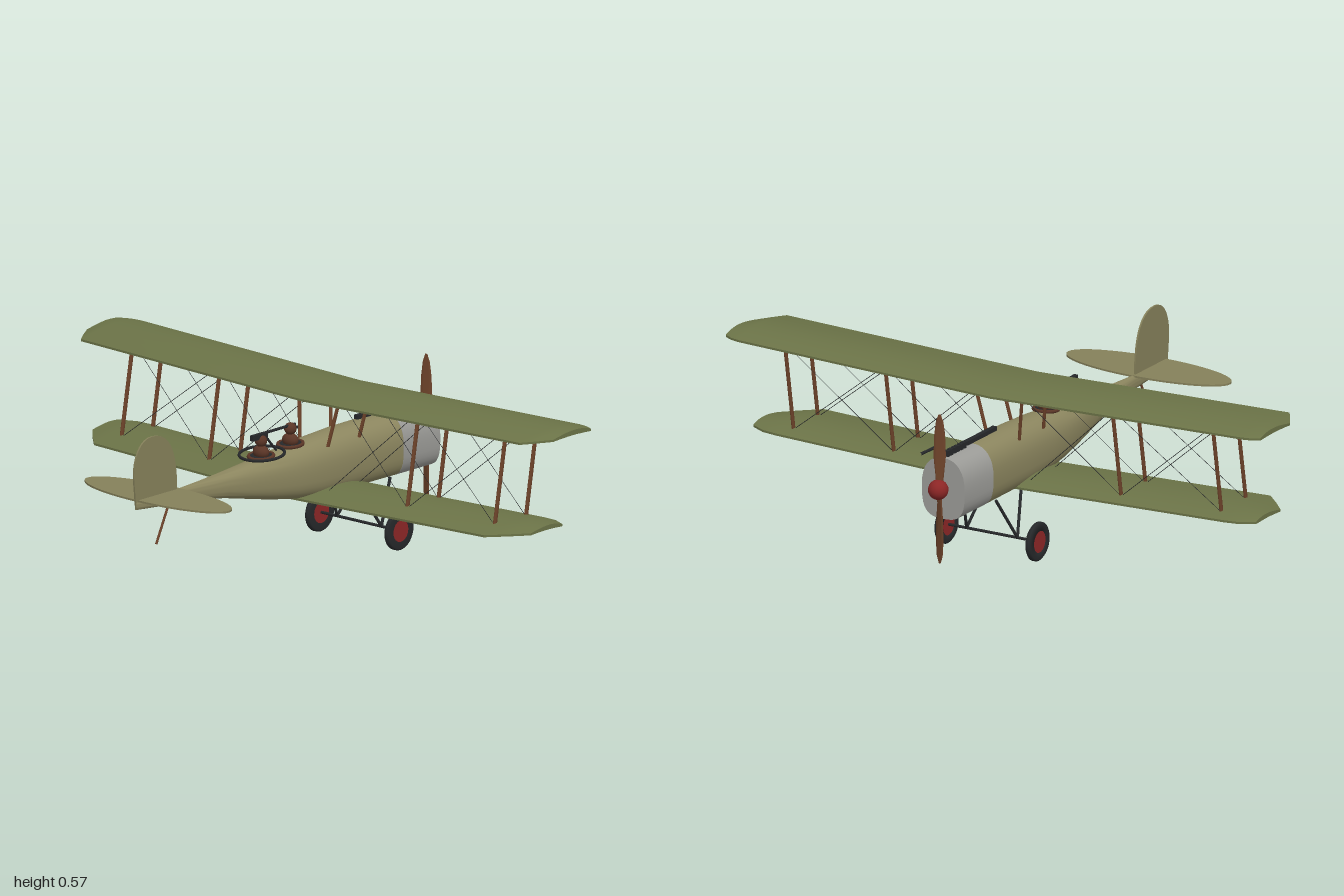
import * as THREE from 'three';
import { toCreasedNormals } from 'three/addons/utils/BufferGeometryUtils.js';

const mat = (color, side = THREE.FrontSide) => new THREE.MeshStandardMaterial({ color, side });
const V = (x, y, z) => new THREE.Vector3(x, y, z);

// Skin a row of closed rings, with a cap at each end
function loft(rings, crease = 0.7) {
  const n = rings[0].length, pos = [], idx = [];
  rings.forEach(r => r.forEach(p => pos.push(p.x, p.y, p.z)));
  for (let i = 0; i < rings.length - 1; i++) {
    for (let j = 0; j < n; j++) {
      const a = i * n + j, b = i * n + (j + 1) % n;
      idx.push(a, b, b + n, a, b + n, a + n);
    }
  }
  [0, rings.length - 1].forEach((k, end) => {
    const c = rings[k].reduce((s, p) => s.add(p), V(0, 0, 0)).divideScalar(n);
    const ci = pos.length / 3;
    pos.push(c.x, c.y, c.z);
    for (let j = 0; j < n; j++) {
      const a = k * n + j, b = k * n + (j + 1) % n;
      idx.push(ci, ...(end ? [a, b] : [b, a]));
    }
  });
  const g = new THREE.BufferGeometry();
  g.setAttribute('position', new THREE.Float32BufferAttribute(pos, 3));
  g.setIndex(idx);
  return toCreasedNormals(g, crease);
}

export function createModel() {
  const root = new THREE.Group();
  root.name = 'biplane';
  const olive = mat(0x6b7347), linen = mat(0x8c865f), tail = mat(0x85805a, THREE.DoubleSide);
  const metal = mat(0x9c9c98), wood = mat(0x6e432a), red = mat(0x8c2626), dark = mat(0x26282a), leather = mat(0x5a3526);

  const add = (name, geo, material, x = 0, y = 0, z = 0) => {
    const m = new THREE.Mesh(geo, material);
    m.name = name;
    m.position.set(x, y, z);
    root.add(m);
    return m;
  };
  // Round bar between two points, optionally flattened sideways
  const bar = (name, a, b, r, material, flat = 1, sides = 8) => {
    const d = b.clone().sub(a);
    const m = add(name, new THREE.CylinderGeometry(r, r, d.length(), sides), material);
    m.position.copy(a).add(b).multiplyScalar(0.5);
    m.quaternion.setFromUnitVectors(V(0, 1, 0), d.normalize());
    m.scale.x = flat;
    return m;
  };

  // Fuselage: rounded-square sections as [z, bottom, top, half width]
  const section = ([z, lo, hi, w]) => Array.from({ length: 32 }, (_, i) => {
    const t = i / 32 * Math.PI * 2, c = Math.cos(t), s = Math.sin(t), e = s > 0 ? 0.85 : 0.65;
    return V(Math.sign(c) * Math.abs(c) ** e * w, (lo + hi) / 2 + Math.sign(s) * Math.abs(s) ** e * (hi - lo) / 2, z);
  });
  add('fuselage', loft([
    [-0.48, 0.2, 0.405, 0.08], [-0.25, 0.201, 0.403, 0.08], [-0.1, 0.206, 0.395, 0.077], [0, 0.218, 0.386, 0.07],
    [0.1, 0.236, 0.378, 0.058], [0.2, 0.258, 0.37, 0.046], [0.3, 0.28, 0.362, 0.034], [0.4, 0.296, 0.356, 0.022],
    [0.5, 0.306, 0.352, 0.012], [0.6, 0.312, 0.35, 0.007], [0.71, 0.322, 0.35, 0.004]
  ].map(section)), linen);
  add('engineCowl', loft([[-0.655, 0.2, 0.405, 0.08], [-0.48, 0.2, 0.405, 0.081]].map(section)), metal);

  // Wings: thin cambered sections swept along the span, stations as [x, leading z, trailing z]
  const airfoil = (x, lead, trail, y) => {
    const pts = [], N = 12, k = (trail - lead) / 0.3;
    for (let i = 0; i <= N; i++) {
      const c = (1 - Math.cos(i / N * Math.PI)) / 2;
      pts.push(V(x, y + 0.004 + 0.022 * k * Math.sin(Math.PI * c ** 0.8), lead + c * (trail - lead)));
    }
    for (let i = N; i >= 0; i--) {
      const c = (1 - Math.cos(i / N * Math.PI)) / 2;
      pts.push(V(x, y - 0.003 + 0.006 * k * Math.sin(Math.PI * c), lead + c * (trail - lead)));
    }
    return pts;
  };
  const wing = (name, half, y, rise) => {
    const all = [...half.slice(1).reverse().map(([x, l, t]) => [-x, l, t]), ...half];
    add(name, loft(all.map(([x, l, t]) => airfoil(x, l, t, y + rise * Math.abs(x)))), olive);
  };
  wing('upperWing', [[0, -0.37, -0.075], [0.94, -0.37, -0.075], [0.97, -0.365, -0.12], [1, -0.35, -0.17]], 0.526, 0.028);
  wing('lowerWing', [[0, -0.31, -0.02], [0.835, -0.31, -0.02], [0.89, -0.305, -0.075], [0.94, -0.28, -0.13]], 0.214, 0.03);

  // Interplane struts and crossed bracing wires
  const top = (x, z) => V(x, 0.532 + 0.028 * Math.abs(x), z);
  const low = (x, z) => V(x, 0.226 + 0.03 * Math.abs(x), z);
  const lines = [[-0.113, -0.168], [-0.262, -0.316]];
  for (const s of [-1, 1]) {
    for (const [zl, zt] of lines) {
      for (const x of [0.425, 0.8]) bar('interplaneStrut', low(s * x, zl), top(s * x, zt), 0.009, wood, 0.5);
      bar('cabaneStrut', V(s * 0.06, 0.37, (zl + zt) / 2), top(s * 0.088, zt), 0.008, wood, 0.5);
      for (const [a, b] of [[0.08, 0.425], [0.425, 0.8]]) {
        bar('bracingWire', low(s * a, zl), top(s * b, zt), 0.001, dark, 1, 4);
        bar('bracingWire', low(s * b, zl), top(s * a, zt), 0.001, dark, 1, 4);
      }
    }
  }

  // Tail surfaces
  const oval = new THREE.Shape();
  oval.absellipse(0, 0, 0.303, 0.1, 0, Math.PI * 2);
  const stab = add('tailplane', new THREE.ExtrudeGeometry(oval, { depth: 0.006, bevelEnabled: false, curveSegments: 32 }), tail, 0, 0.353, 0.602);
  stab.rotation.x = Math.PI / 2;
  const fin = new THREE.Shape();
  fin.moveTo(-0.515, 0.345);
  fin.bezierCurveTo(-0.515, 0.46, -0.54, 0.55, -0.635, 0.55);
  fin.bezierCurveTo(-0.7, 0.55, -0.725, 0.48, -0.72, 0.42);
  fin.lineTo(-0.71, 0.325);
  const rudder = add('fin', new THREE.ExtrudeGeometry(fin, { depth: 0.006, bevelEnabled: false, curveSegments: 16 }), tail, -0.003, 0, 0);
  rudder.rotation.y = Math.PI / 2;
  bar('tailSkid', V(0, 0.32, 0.548), V(0, 0.19, 0.612), 0.004, wood);

  // Propeller and spinner
  const ring = ([r, w, t, twist]) => Array.from({ length: 12 }, (_, i) => {
    const a = i / 12 * Math.PI * 2;
    return V(Math.sin(a) * w, r, Math.cos(a) * t).applyAxisAngle(V(0, 1, 0), twist);
  });
  const blade = loft([[0, 0.01, 0.009, 0.7], [0.05, 0.014, 0.006, 0.6], [0.11, 0.02, 0.004, 0.45],
    [0.18, 0.018, 0.003, 0.3], [0.225, 0.013, 0.002, 0.2], [0.25, 0.004, 0.001, 0.15]].map(ring), 1.2);
  for (const a of [0, Math.PI]) add('propellerBlade', blade, wood, 0, 0.307, -0.677).rotation.z = a;
  add('spinner', new THREE.SphereGeometry(0.033, 20, 14), red, 0, 0.307, -0.686);
  bar('propellerShaft', V(0, 0.307, -0.64), V(0, 0.307, -0.69), 0.012, dark);

  // Landing gear
  bar('axle', V(-0.17, 0.069, -0.357), V(0.17, 0.069, -0.357), 0.005, dark);
  for (const s of [-1, 1]) {
    for (const z of [-0.435, -0.28]) bar('gearLeg', V(s * 0.062, 0.21, z), V(s * 0.095, 0.069, -0.357), 0.005, dark);
    const tyre = new THREE.LatheGeometry([[0.036, -0.009], [0.058, -0.01], [0.064, -0.005], [0.064, 0.005], [0.058, 0.01],
      [0.036, 0.009], [0.036, -0.009]].map(p => new THREE.Vector2(...p)), 32);
    add('tyre', tyre, dark, s * 0.17, 0.069, -0.357).rotation.z = Math.PI / 2;
    add('wheelDisc', new THREE.CylinderGeometry(0.037, 0.037, 0.016, 24), red, s * 0.17, 0.069, -0.357).rotation.z = Math.PI / 2;
  }

  // Exhaust stacks, fixed forward gun and side pipe
  for (let i = 0; i < 6; i++) add('exhaustStack', new THREE.BoxGeometry(0.016, 0.026, 0.014), dark, 0, 0.411, -0.632 + i * 0.02);
  add('forwardGun', new THREE.BoxGeometry(0.016, 0.014, 0.18), dark, 0, 0.416, -0.43);
  const pipe = new THREE.CatmullRomCurve3([V(0.092, 0.398, -0.645), V(0.093, 0.4, -0.53), V(0.097, 0.415, -0.505), V(0.103, 0.426, -0.485)]);
  add('exhaustPipe', new THREE.TubeGeometry(pipe, 24, 0.005, 8), dark);

  // Cockpits with crew
  for (const [z, y] of [[-0.028, 0.392], [0.112, 0.38]]) {
    const rim = add('cockpitRim', new THREE.TorusGeometry(0.04, 0.006, 8, 28), leather, 0, y, z);
    rim.rotation.x = Math.PI / 2 + 0.08;
    add('cockpitFloor', new THREE.CylinderGeometry(0.038, 0.038, 0.006, 24), dark, 0, y, z).rotation.x = 0.08;
    add('crewShoulders', new THREE.SphereGeometry(0.025, 16, 12), leather, 0, y + 0.013, z).scale.set(1.2, 0.9, 0.9);
    add('crewHead', new THREE.SphereGeometry(0.02, 16, 12), leather, 0, y + 0.05, z);
    add('goggles', new THREE.BoxGeometry(0.028, 0.008, 0.008), dark, 0, y + 0.053, z - 0.018);
  }

  // Rear gun on its ring mount
  const mount = add('gunRing', new THREE.TorusGeometry(0.073, 0.005, 8, 36), dark, 0, 0.387, 0.108);
  mount.rotation.x = Math.PI / 2 + 0.09;
  bar('rearGunBarrel', V(0, 0.452, 0.14), V(0, 0.453, -0.05), 0.005, dark);
  add('rearGunBody', new THREE.BoxGeometry(0.014, 0.018, 0.07), dark, 0, 0.446, 0.122);
  bar('rearGunPost', V(0, 0.385, 0.04), V(0, 0.45, 0.1), 0.004, dark);
  return root;
}
